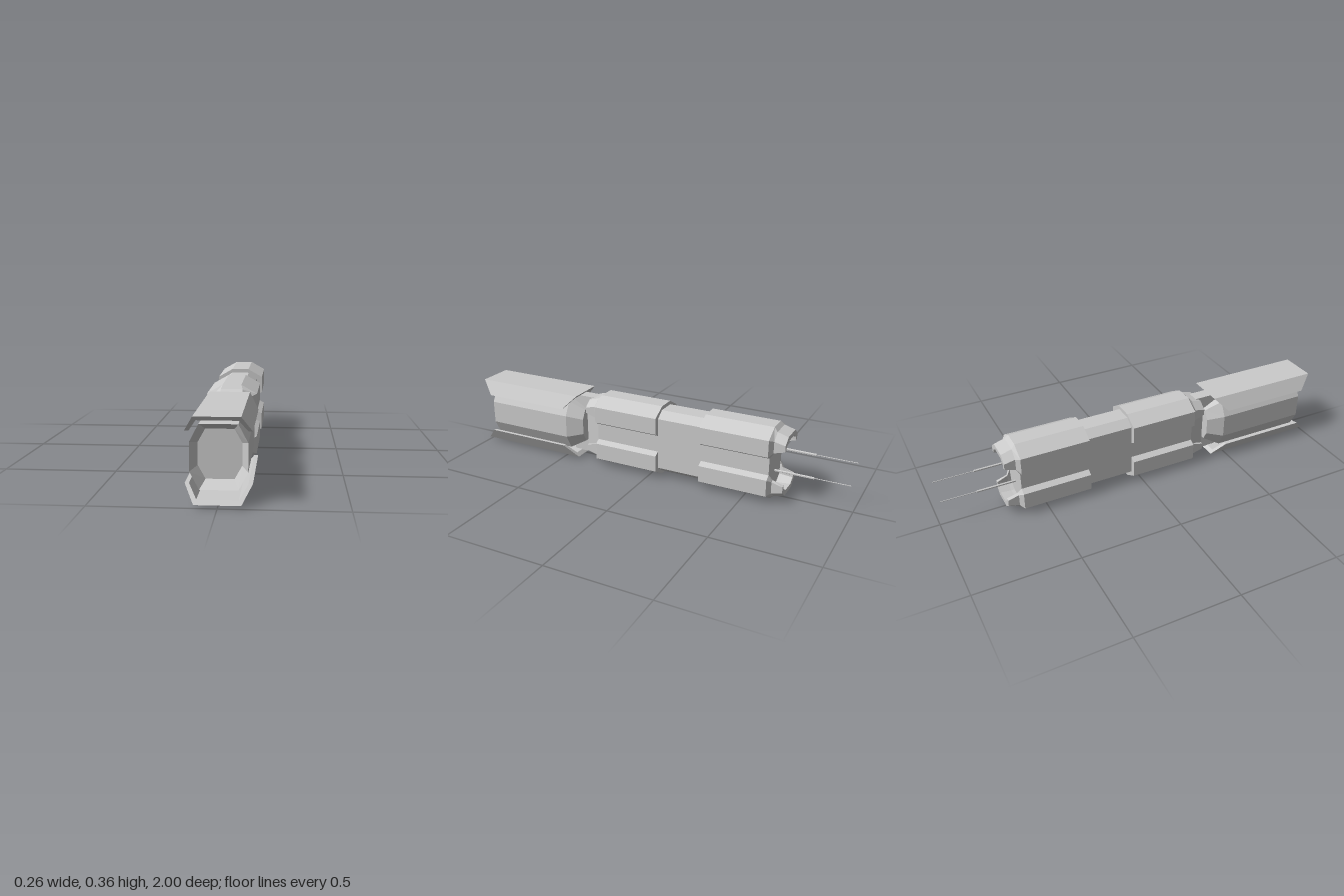
import * as THREE from 'three';

const CY = 0.182; // height of the long axis
const material = new THREE.MeshStandardMaterial({ color: 0xcccccc, flatShading: true, side: THREE.DoubleSide });

// Mirror a right-hand half outline (bottom to top) into a closed section;
// an inner half outline turns it into a C-shaped shell.
function mirrorX(outer, inner = []) {
  const flip = (p) => [-p[0], p[1]];
  return [...outer, ...[...outer].reverse().map(flip), ...inner.map(flip), ...[...inner].reverse()];
}

// Octagonal section from a half width/height and its bevelled corner
function octagon(w, sideH, topW, h) {
  return mirrorX([[topW, -h], [w, -sideH], [w, sideH], [topW, h]]);
}

// Join cross-sections along z and cap both ends; z may depend on y
function loft(sections) {
  const rings = sections.map(([z, pts]) =>
    pts.map(([x, y]) => [x, y, typeof z === 'function' ? z(y) : z]));
  const out = [];
  const n = rings[0].length;
  for (let k = 0; k < rings.length - 1; k++) {
    for (let i = 0; i < n; i++) {
      const j = (i + 1) % n;
      const a = rings[k][i], b = rings[k][j], c = rings[k + 1][j], d = rings[k + 1][i];
      out.push(...a, ...b, ...c, ...a, ...c, ...d);
    }
  }
  const cap = (ring, front) => {
    const flat = ring.map((p) => new THREE.Vector2(p[0], p[1]));
    for (const [a, b, c] of THREE.ShapeUtils.triangulateShape(flat, [])) {
      out.push(...ring[a], ...ring[front ? b : c], ...ring[front ? c : b]);
    }
  };
  cap(rings[0], false);
  cap(rings[rings.length - 1], true);
  const geo = new THREE.BufferGeometry();
  geo.setAttribute('position', new THREE.Float32BufferAttribute(out, 3));
  geo.computeVertexNormals();
  return geo;
}

export function createModel() {
  const model = new THREE.Group();
  model.name = 'spaceStation';
  const add = (name, geo, x = 0, y = 0, z = 0) => {
    const mesh = new THREE.Mesh(geo, material);
    mesh.name = name;
    mesh.position.set(x, y + CY, z);
    model.add(mesh);
    return mesh;
  };

  // Long central hull with a slightly tapered nose
  const hull = octagon(0.088, 0.13, 0.045, 0.162);
  add('coreHull', loft([
    [-0.62, hull], [0.29, hull], [0.36, octagon(0.075, 0.1, 0.04, 0.13)],
  ]));

  // Armour shells with stepped collars: top/bottom, front/rear
  const padInner = [[0.075, 0.105], [0.035, 0.13]];
  const pad = mirrorX([[0.086, 0.041], [0.115, 0.058], [0.115, 0.14], [0.043, 0.181]], padInner);
  const collar = mirrorX([[0.075, 0.068], [0.09, 0.073], [0.09, 0.13], [0.05, 0.163]], padInner);
  const lip = mirrorX([[0.07, 0.086], [0.088, 0.088], [0.088, 0.118], [0.05, 0.148]],
    [[0.068, 0.105], [0.035, 0.125]]);
  const MID = -0.165;
  const shell = loft([
    [-0.05 - MID, pad], [0.29 - MID, pad], [0.307 - MID, collar], [0.36 - MID, lip],
  ]);
  for (const bottom of [false, true]) {
    for (const rear of [false, true]) {
      const mesh = add(`${rear ? 'rear' : 'front'}${bottom ? 'Lower' : 'Upper'}Shell`, shell, 0, 0, MID);
      mesh.rotation.set(0, rear ? Math.PI : 0, bottom ? Math.PI : 0);
    }
  }

  // Narrow neck joining hull, capsule and cover plates
  add('neck', new THREE.BoxGeometry(0.06, 0.306, 0.16), 0, 0, 0.39);

  // Front capsule with tapered back and recessed front
  const capsule = octagon(0.112, 0.057, 0.075, 0.128);
  add('capsule', loft([
    [0.39, octagon(0.075, 0.04, 0.05, 0.085)],
    [0.47, capsule],
    [0.935, capsule],
    [0.88, octagon(0.086, 0.045, 0.056, 0.099)],
  ]));

  // Folded cover plates with slanted ends above and below the capsule
  const plate = mirrorX([[0.13, 0.101], [0.09, 0.168]], [[0.113, 0.101], [0.08, 0.151]]);
  const slant = (y) => 0.065 * (0.168 - y) / 0.067;
  const plateGeo = loft([[(y) => 0.415 + slant(y), plate], [(y) => 1 - slant(y), plate]]);
  add('upperCoverPlate', plateGeo);
  add('lowerCoverPlate', plateGeo).rotation.z = Math.PI;

  // Two stepped antennas at the rear
  const rod = (name, r, y, z0, z1) => {
    const geo = new THREE.CylinderGeometry(r, r, z0 - z1, 6).rotateX(Math.PI / 2);
    add(name, geo, 0, y, (z0 + z1) / 2);
  };
  for (const [side, y, tip] of [['upper', 0.065, -1], ['lower', -0.053, -0.98]]) {
    rod(`${side}AntennaBase`, 0.006, y, -0.6, -0.81);
    rod(`${side}AntennaTip`, 0.002, y, -0.8, tip);
  }

  return model;
}
